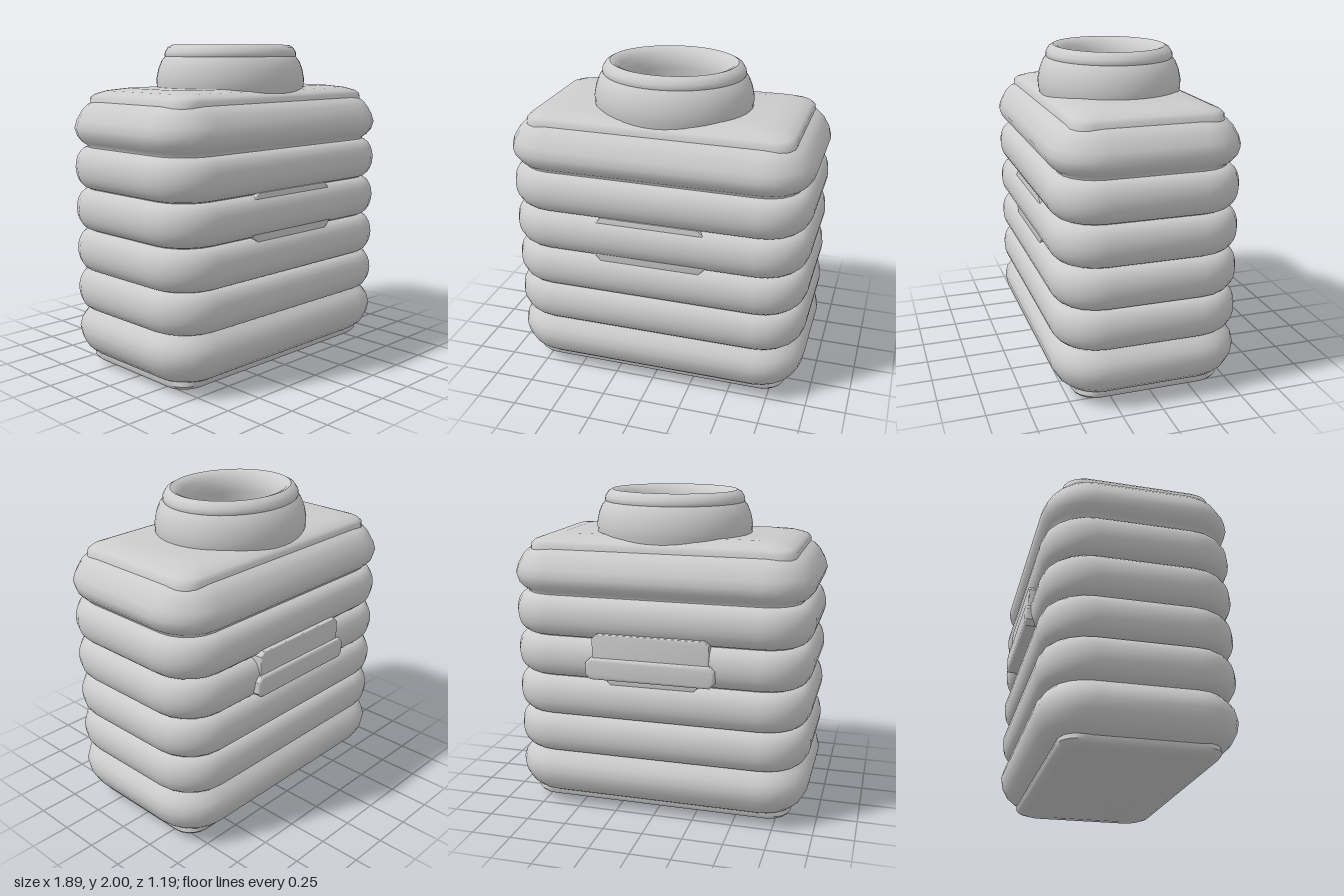
import * as THREE from 'three';
import { toCreasedNormals, mergeVertices } from 'three/addons/utils/BufferGeometryUtils.js';

const CZ = 0.015; // the container sits slightly forward of its back tab

// Rounded rectangle cross-section, counted from +x towards +z
function roundedRect(hx, hz, r, y, seg = 5) {
  const pts = [];
  [[1, 1], [-1, 1], [-1, -1], [1, -1]].forEach(([sx, sz], q) => {
    for (let i = 0; i <= seg; i++) {
      const a = (q + i / seg) * Math.PI / 2;
      pts.push([sx * (hx - r) + r * Math.cos(a), y, sz * (hz - r) + r * Math.sin(a)]);
    }
  });
  return pts;
}

function ellipse(rx, rz, y, seg = 48) {
  return Array.from({ length: seg }, (_, i) => {
    const a = i / seg * Math.PI * 2;
    return [rx * Math.cos(a), y, rz * Math.sin(a)];
  });
}

// Skin over a stack of cross-sections, with optional flat end caps
function loft(rings, { bottom = false, top = false, crease = 0.9 } = {}) {
  const n = rings[0].length, pos = rings.flat(2), index = [];
  for (let j = 0; j < rings.length - 1; j++) {
    for (let i = 0; i < n; i++) {
      const k = (i + 1) % n, a = j * n + i, b = j * n + k;
      index.push(a, a + n, b, b, a + n, b + n);
    }
  }
  const last = (rings.length - 1) * n;
  for (let i = 1; i < n - 1; i++) {
    if (bottom) index.push(0, i, i + 1);
    if (top) index.push(last, last + i + 1, last + i);
  }
  const g = new THREE.BufferGeometry();
  g.setAttribute('position', new THREE.Float32BufferAttribute(pos, 3));
  g.setIndex(index);
  return toCreasedNormals(mergeVertices(g), crease);
}

export function createModel() {
  const model = new THREE.Group();
  model.name = 'ribbedContainer';
  const grey = new THREE.MeshStandardMaterial({ color: 0xcccccc });
  grey.name = 'lightGrey';

  function add(name, geometry, z = CZ, y = 0) {
    const mesh = new THREE.Mesh(geometry, grey);
    mesh.name = name;
    mesh.position.set(0, y, z);
    model.add(mesh);
    return mesh;
  }

  // Ribbed walls: [inset, height] profile
  const profile = [[0.13, 0.07], [0.085, 0.095], [0.045, 0.13], [0.012, 0.19], [0, 0.25], [0.015, 0.305], [0.045, 0.345]];
  const steps = 10;
  for (const c of [0.5, 0.75, 1.005, 1.26]) {
    for (let i = 0; i <= steps; i++) {
      const t = (i / steps - 0.5) * Math.PI * 0.94;
      profile.push([0.084 * (1 - Math.cos(t)), c + 0.127 * Math.sin(t)]);
    }
  }
  profile.push([0.075, 1.395], [0.045, 1.415], [0.015, 1.45], [0, 1.5], [0.015, 1.55], [0.05, 1.61], [0.085, 1.645], [0.13, 1.665]);
  add('ribbedBody', loft(profile.map(([o, y]) => roundedRect(0.945 - o, 0.578 - o, 0.29 - o, y)), { crease: 1.1 }));

  // Softly domed base and shoulder
  const dome = [[0.83, 0.455, 0.13, 0.11], [0.84, 0.46, 0.13, 0.06], [0.825, 0.445, 0.13, 0.038],
    [0.78, 0.405, 0.12, 0.02], [0.65, 0.29, 0.1, 0]];
  add('base', loft(dome.slice().reverse().map((d) => roundedRect(...d)), { bottom: true }));
  const shoulder = [[0.83, 0.46, 0.12, 1.63], [0.825, 0.458, 0.12, 1.685], [0.805, 0.44, 0.12, 1.705],
    [0.75, 0.39, 0.11, 1.725], [0.65, 0.3, 0.1, 1.74]];
  add('shoulder', loft(shoulder.map((d) => roundedRect(...d)), { top: true }));

  // Oval neck with a rolled rim and open mouth: [inset, height]
  const neck = [[0.02, 1.66], [0.002, 1.74], [0, 1.79], [0.012, 1.85], [0.032, 1.9], [0.055, 1.928],
    [0.052, 1.935], [0.055, 1.957], [0.073, 1.985], [0.1, 2], [0.128, 1.99], [0.157, 1.958],
    [0.173, 1.91], [0.175, 1.87], [0.165, 1.8], [0.165, 1.7]];
  add('neck', loft(neck.map(([o, y]) => ellipse(0.495 - o, 0.442 - o, y)), { crease: 0.7 }));

  // Upright plate with chamfered corners and a bevelled face
  function plate(halfWidth, height, depth, cut, bevel) {
    const w = halfWidth - bevel, h = height / 2 - bevel;
    const s = new THREE.Shape([[-w + cut, -h], [w - cut, -h], [w, -h + cut], [w, h - cut],
      [w - cut, h], [-w + cut, h], [-w, h - cut], [-w, -h + cut]].map((p) => new THREE.Vector2(...p)));
    const g = new THREE.ExtrudeGeometry(s, { depth: depth - 2 * bevel, bevelThickness: bevel,
      bevelSize: bevel, bevelSegments: 3, bevelEnabled: true });
    return toCreasedNormals(g.center(), 0.7);
  }
  add('frontPlate', plate(0.36, 0.3, 0.1, 0.055, 0.004), 0.505, 0.995);
  add('backPlate', plate(0.3, 0.1, 0.08, 0.04, 0.004), -0.485, 0.9);
  add('backTab', plate(0.36, 0.26, 0.08, 0.025, 0.006), -0.532, 1.05);
  add('backBar', plate(0.4, 0.135, 0.09, 0.02, 0.018), -0.55, 0.967);

  return model;
}
